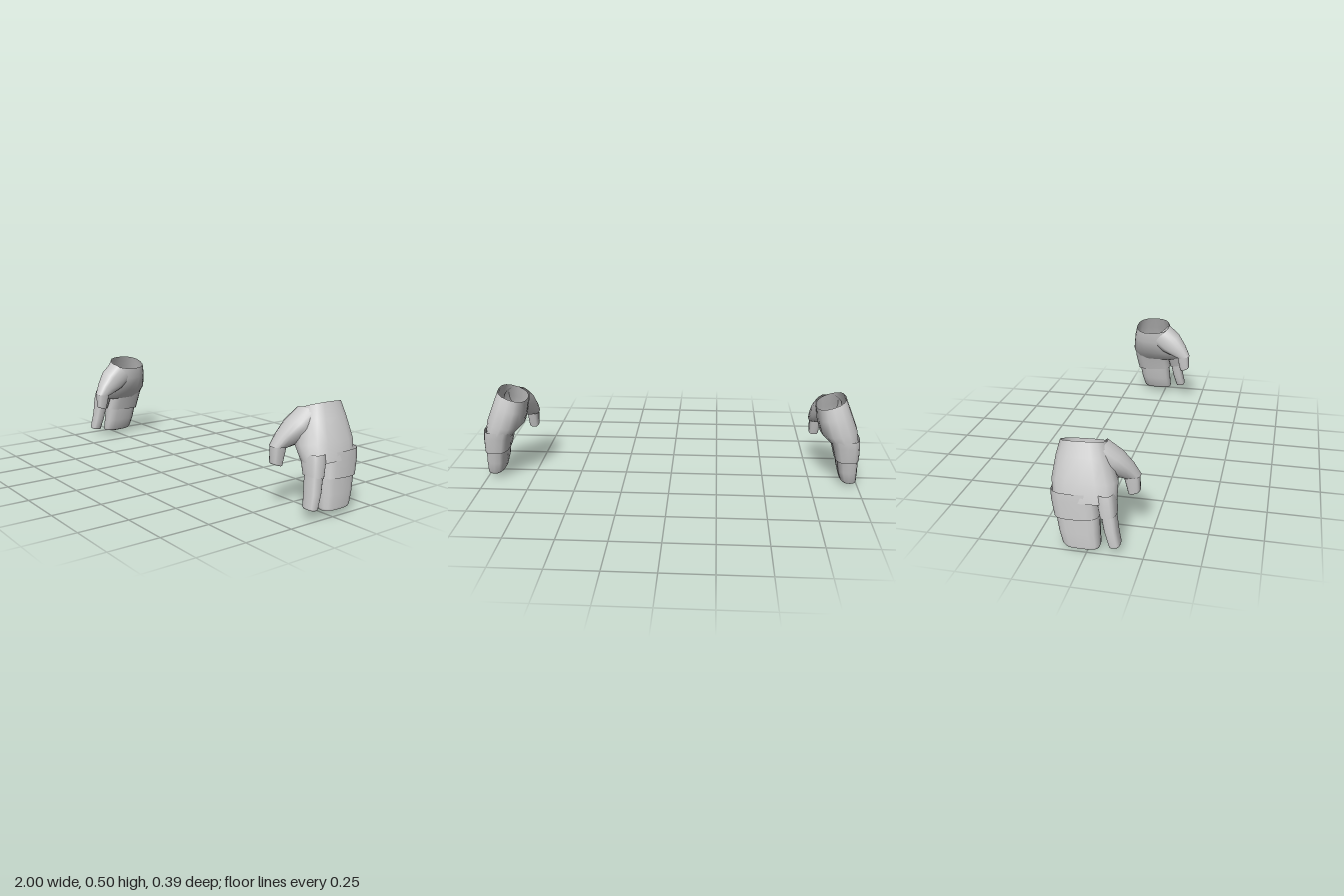
import * as THREE from 'three';

const SIDES = 16;

// Lofts rounded-box cross-sections from top to bottom.
// Ring: [centre x, y, z, half-width x, half-depth z, slope along x, slope along z]
function loft(name, rings, material, { power = 2.6, tip = null } = {}) {
  const pos = [], index = [];
  const bend = (v) => Math.sign(v) * Math.pow(Math.abs(v), 2 / power);
  const addRing = ([cx, cy, cz, rx, rz, sx = 0, sz = 0]) => {
    for (let j = 0; j < SIDES; j++) {
      const a = (j / SIDES) * Math.PI * 2;
      const dx = rx * bend(Math.cos(a)), dz = rz * bend(Math.sin(a));
      pos.push(cx + dx, cy + sx * dx + sz * dz, cz + dz);
    }
  };
  rings.forEach(addRing);
  for (let i = 0; i < rings.length - 1; i++) {
    for (let j = 0; j < SIDES; j++) {
      const k = (j + 1) % SIDES;
      const a = i * SIDES + j, b = i * SIDES + k;
      index.push(a, b, a + SIDES, b, b + SIDES, a + SIDES);
    }
  }
  // Lower cap with its own vertices, so its rim stays crisp
  if (tip !== null) {
    const last = rings[rings.length - 1], base = rings.length * SIDES;
    addRing(last);
    pos.push(last[0], last[1] - tip, last[2]);
    for (let j = 0; j < SIDES; j++) index.push(base + SIDES, base + j, base + (j + 1) % SIDES);
  }
  const geo = new THREE.BufferGeometry();
  geo.setAttribute('position', new THREE.Float32BufferAttribute(pos, 3));
  geo.setIndex(index);
  geo.computeVertexNormals();
  const mesh = new THREE.Mesh(geo, material);
  mesh.name = name;
  return mesh;
}

function createHand(name, material) {
  const hand = new THREE.Group();
  hand.name = name;
  hand.add(
    // Hollow palm, open at the slanted wrist
    loft('palm', [
      [0.835, 0.475, -0.062, 0.075, 0.102, 0.37, 0.03],
      [0.852, 0.41, -0.058, 0.086, 0.122, 0.3],
      [0.885, 0.32, -0.045, 0.095, 0.148, 0.15],
      [0.92, 0.25, -0.037, 0.075, 0.143],
    ], material, { power: 2.4 }),
    // Knuckle cuffs, split by a narrow slit
    loft('indexCuff', [
      [0.92, 0.29, 0.058, 0.062, 0.038],
      [0.932, 0.25, 0.064, 0.057, 0.04],
      [0.945, 0.188, 0.074, 0.047, 0.036, 0, 0.2],
    ], material, { power: 3, tip: 0 }),
    loft('mittenCuff', [
      [0.912, 0.29, -0.082, 0.08, 0.104],
      [0.922, 0.25, -0.08, 0.074, 0.104],
      [0.935, 0.17, -0.067, 0.064, 0.101, 0, 0.04],
    ], material, { power: 3, tip: 0 }),
    // Index finger
    loft('indexFinger', [
      [0.945, 0.21, 0.072, 0.042, 0.033],
      [0.955, 0.12, 0.087, 0.04, 0.03],
      [0.962, 0.055, 0.104, 0.035, 0.026, 0, 0.15],
      [0.963, 0.047, 0.104, 0.03, 0.023, 0, 0.15],
    ], material, { power: 3, tip: 0.003 }),
    // The remaining fingers, joined into one block
    loft('joinedFingers', [
      [0.935, 0.19, -0.067, 0.058, 0.096],
      [0.945, 0.1, -0.057, 0.053, 0.091],
      [0.955, 0.04, -0.046, 0.044, 0.085],
      [0.96, 0.028, -0.042, 0.037, 0.076],
    ], material, { power: 3, tip: 0.012 }),
    // Thumb base growing out of the palm, then the thumb tip
    loft('thumbBase', [
      [0.835, 0.425, -0.01, 0.07, 0.052, 0, 1],
      [0.822, 0.375, 0.055, 0.07, 0.05, 0, 1],
      [0.802, 0.335, 0.105, 0.052, 0.046, 0, 0.6],
      [0.787, 0.3, 0.14, 0.036, 0.042, 0, 0.1],
    ], material, { tip: 0 }),
    loft('thumb', [
      [0.787, 0.31, 0.14, 0.031, 0.037],
      [0.786, 0.222, 0.153, 0.026, 0.027, 0, 0.35],
      [0.786, 0.216, 0.153, 0.021, 0.022, 0, 0.35],
    ], material, { power: 3, tip: 0 }),
  );
  return hand;
}

export function createModel() {
  const material = new THREE.MeshStandardMaterial({ color: 0xcccccc, side: THREE.DoubleSide });
  const model = new THREE.Group();
  model.name = 'handPair';
  const left = createHand('leftHand', material);
  // Mirrored hand, held slightly lower and further forward
  const right = createHand('rightHand', material);
  right.scale.x = -1;
  right.position.set(0, -0.015, 0.015);
  model.add(left, right);
  return model;
}
